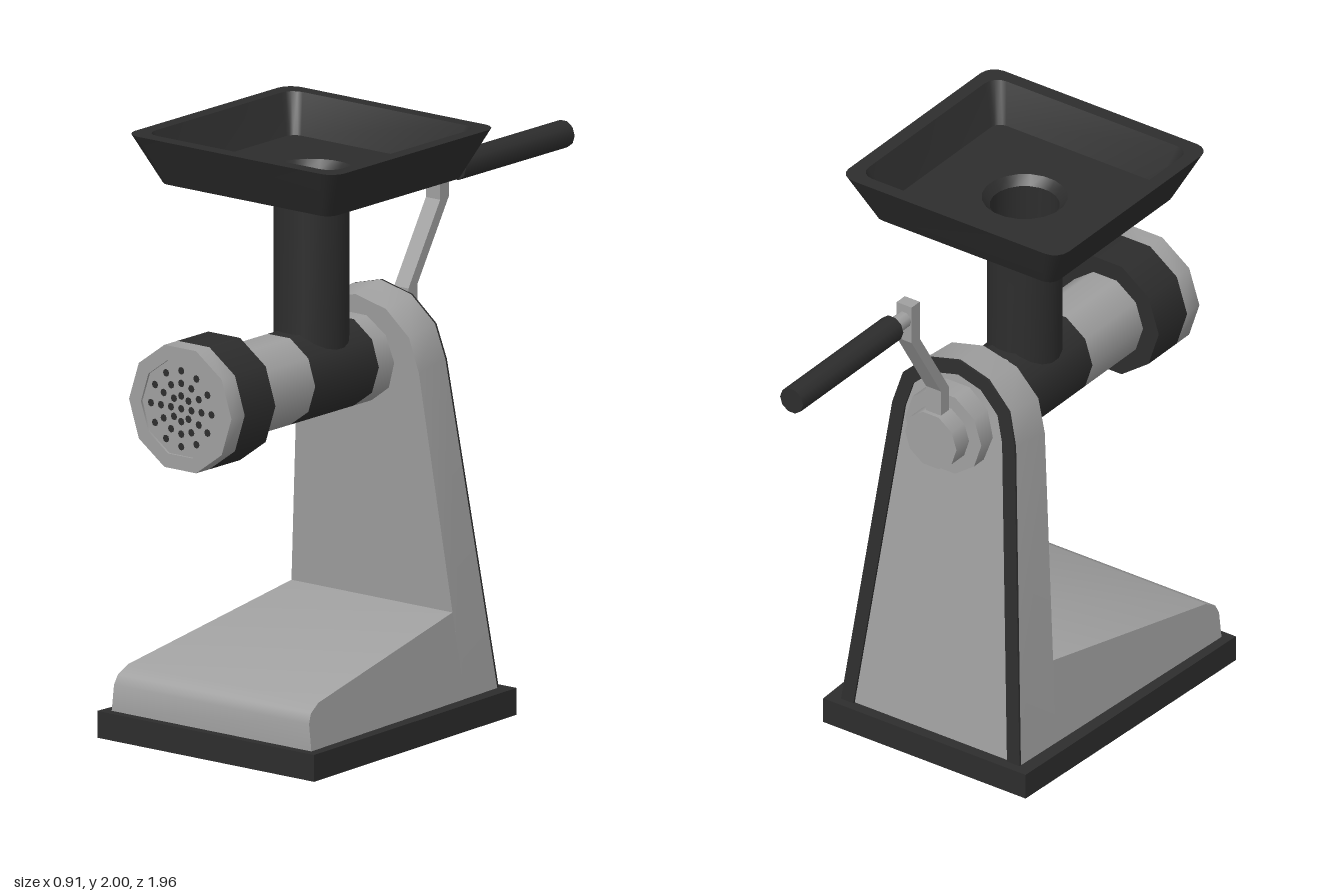
import * as THREE from 'three';
import { toCreasedNormals } from 'three/addons/utils/BufferGeometryUtils.js';

const metal = new THREE.MeshStandardMaterial({ name: 'greyMetal', color: 0xa0a0a0 });
const black = new THREE.MeshStandardMaterial({ name: 'blackPlastic', color: 0x2d2d2d });

const AXIS_Y = 1.2;      // height of the grinding barrel
const HOPPER_Z = 0.31;   // centre of the feed tube and tray

export function createModel() {
  const model = new THREE.Group();
  model.name = 'meatGrinder';

  const add = (name, geometry, material, parent = model) => {
    const mesh = new THREE.Mesh(geometry, material);
    mesh.name = name;
    parent.add(mesh);
    return mesh;
  };
  const polygon = (pts) => new THREE.Shape(pts.map(([x, y]) => new THREE.Vector2(x, y)));
  const extrude = (shape, depth) =>
    new THREE.ExtrudeGeometry(shape, { depth, bevelEnabled: false, steps: 1 });
  // Extrudes a [z, y] side profile across x, centred
  const sideExtrude = (pts, width) =>
    extrude(polygon(pts), width).rotateY(-Math.PI / 2).translate(width / 2, 0, 0);
  // Moves every vertex by a rule, then rebuilds the normals
  const warp = (geometry, rule) => {
    const p = geometry.attributes.position;
    const v = new THREE.Vector3();
    for (let i = 0; i < p.count; i++) {
      rule(v.fromBufferAttribute(p, i));
      p.setXYZ(i, v.x, v.y, v.z);
    }
    return toCreasedNormals(geometry, 0.62);
  };
  // Cylinder lying along z, with corners at left and right
  const zCylinder = (r, z0, z1, y = AXIS_Y, sides = 10) =>
    new THREE.CylinderGeometry(r, r, z1 - z0, sides, 1, false, Math.PI / 2)
      .rotateX(Math.PI / 2).translate(0, y, (z0 + z1) / 2);

  // Base plate, slightly narrower at the back
  const base = polygon([[-0.455, -0.85], [0.455, -0.85], [0.405, 0.245], [-0.405, 0.245]]);
  add('basePlate', extrude(base, 0.09).rotateX(-Math.PI / 2), black);

  // Sloping foot
  const footProfile = [[-0.05, 0.09], [0.82, 0.09], [0.82, 0.18], [0.805, 0.212], [0.76, 0.238],
    [0, 0.38], [-0.05, 0.38]];
  add('foot', warp(sideExtrude(footProfile, 2), (v) => {
    v.x = Math.sign(v.x) * (0.37 + 0.06 * v.z - 0.11 * (v.y - 0.09));
  }), metal);

  // Arched upright, leaning forward and thinner towards the top
  const arch = (inset) => {
    const pts = [[-0.37 + inset, 0.09], [0.37 - inset, 0.09]];
    for (let i = 0; i <= 6; i++) {
      const a = (i * Math.PI) / 6;
      pts.push([(0.25 - inset) * Math.cos(a), 1.19 + (0.23 - inset) * Math.sin(a)]);
    }
    return pts;
  };
  const backZ = (y) => -0.205 + 0.116 * (y - 0.09);
  const frontZ = (y) => 0.0873 * (y - 0.38);
  add('upright', warp(extrude(polygon(arch(0)), 1), (v) => {
    const front = v.z > 0.5;
    v.y += (front ? -0.01 : 0.01) * (v.y - 0.09) / 1.33;
    v.z = front ? frontZ(v.y) : backZ(v.y);
    v.x += Math.sign(v.x) * 0.06 * v.z;
  }), metal);

  // Dark trim around the back of the upright, open at the bottom
  const outer = arch(0);
  const inner = arch(0.05);
  const trim = [...outer.slice(1), outer[0], inner[0], ...inner.slice(2).reverse(), inner[1]];
  add('backTrim', warp(extrude(polygon(trim), 1), (v) => {
    const t = v.z;
    v.y += 0.01 * (v.y - 0.09) / 1.33;
    v.z = backZ(v.y) - 0.008 * (1 - t);
    v.x += Math.sign(v.x) * 0.06 * v.z;
  }), black);

  // Barrel in three bands
  add('barrelFront', zCylinder(0.152, 0.475, 0.77), metal);
  add('barrelCollar', zCylinder(0.152, 0.15, 0.475), black);
  add('barrelRear', zCylinder(0.152, -0.14, 0.15), metal);

  // Head: dark ring nut, metal rim and perforated plate
  add('ringNut', zCylinder(0.215, 0.755, 0.912), black);
  const rimProfile = [[0.215, 0.912], [0.215, 0.98], [0.165, 0.98], [0.165, 0.965]]
    .map(([r, z]) => new THREE.Vector2(r, z));
  const rim = new THREE.LatheGeometry(rimProfile, 10, Math.PI / 2)
    .rotateX(Math.PI / 2).translate(0, AXIS_Y, 0);
  add('headRim', toCreasedNormals(rim, 0.7), metal);
  add('grindingPlate', zCylinder(0.168, 0.92, 0.972), metal);

  const holes = new THREE.Group();
  holes.name = 'plateHoles';
  model.add(holes);
  const dot = new THREE.CircleGeometry(0.013, 8);
  for (const [radius, count] of [[0, 1], [0.043, 8], [0.085, 12], [0.127, 12]]) {
    for (let i = 0; i < count; i++) {
      const a = (i / count) * Math.PI * 2;
      add('plateHole', dot, black, holes)
        .position.set(radius * Math.cos(a), AXIS_Y + radius * Math.sin(a), 0.975);
    }
  }

  // Hopper: feed tube, tray and funnel hole lofted through matching loops
  const circle = (r, y) => Array.from({ length: 20 }, (_, i) => {
    const a = ((i - 2) * 18 + 45) * Math.PI / 180;
    return [r * Math.cos(a), y, HOPPER_Z + r * Math.sin(a)];
  });
  const roundedRect = (hx, hz, r, y) => Array.from({ length: 20 }, (_, i) => {
    const k = Math.floor(i / 5);
    const a = (k + (i % 5) / 4) * Math.PI / 2;
    const sx = k === 0 || k === 3 ? 1 : -1;
    const sz = k < 2 ? 1 : -1;
    return [sx * (hx - r) + r * Math.cos(a), y, HOPPER_Z + sz * (hz - r) + r * Math.sin(a)];
  });
  const loft = (loops) => {
    const n = loops[0].length;
    const index = [];
    for (let l = 0; l < loops.length - 1; l++) {
      for (let i = 0; i < n; i++) {
        const a = l * n + i, b = l * n + (i + 1) % n;
        index.push(a, a + n, b, a + n, b + n, b);
      }
    }
    const g = new THREE.BufferGeometry();
    g.setAttribute('position', new THREE.Float32BufferAttribute(loops.flat(2), 3));
    g.setIndex(index);
    return toCreasedNormals(g, 0.5);
  };
  add('hopper', loft([
    circle(0.124, 1.22), circle(0.124, 1.835),
    roundedRect(0.36, 0.345, 0.04, 1.835), roundedRect(0.44, 0.42, 0.055, 2),
    roundedRect(0.392, 0.372, 0.05, 2), roundedRect(0.34, 0.32, 0.035, 1.87),
    circle(0.14, 1.87), circle(0.114, 1.84), circle(0.114, 1.22),
  ]), black);

  // Crank: hub, bent arm, pin and grip
  add('crankHub', zCylinder(0.103, -0.21, -0.13), metal);
  const armProfile = [[-0.15, 1.2], [-0.15, 1.385], [-0.312, 1.65], [-0.312, 1.79],
    [-0.357, 1.79], [-0.357, 1.655], [-0.195, 1.39], [-0.195, 1.2]];
  add('crankArm', sideExtrude(armProfile, 0.06), metal);
  add('gripPin', zCylinder(0.028, -0.44, -0.35, 1.735), metal);
  add('crankGrip', zCylinder(0.046, -0.98, -0.425, 1.735), black);

  return model;
}
